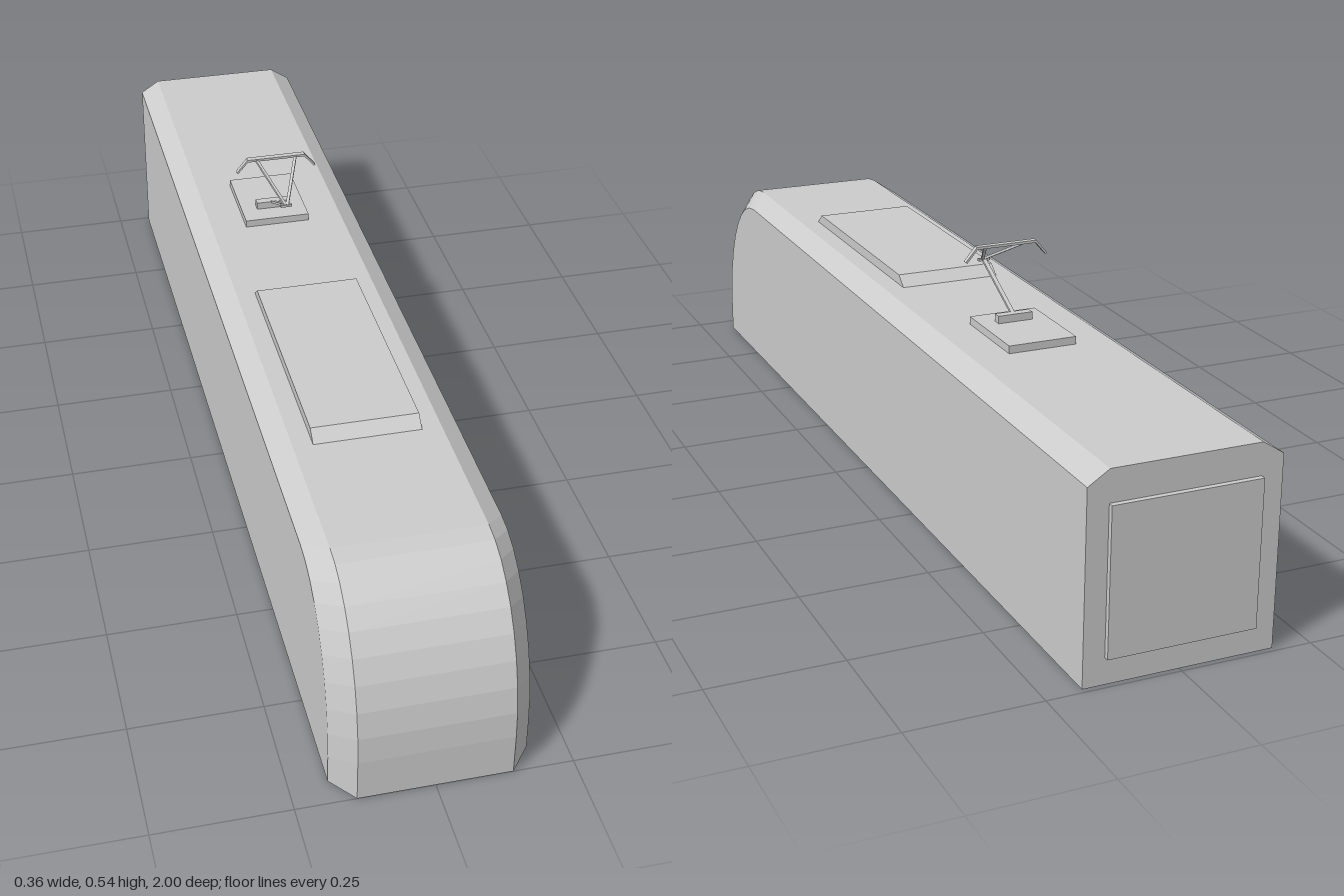
import * as THREE from 'three';

const grey = new THREE.MeshStandardMaterial({ color: 0xcccccc, flatShading: true });

function add(parent, name, geometry) {
  const mesh = new THREE.Mesh(geometry, grey);
  mesh.name = name;
  parent.add(mesh);
  return mesh;
}

// Box given by its minimum and maximum corners
function box(parent, name, min, max) {
  const size = max.map((v, i) => v - min[i]);
  const mesh = add(parent, name, new THREE.BoxGeometry(...size));
  mesh.position.set(...max.map((v, i) => (v + min[i]) / 2));
  return mesh;
}

// Thin square bar between two points
function bar(parent, name, from, to, width, height = width) {
  const a = new THREE.Vector3(...from), b = new THREE.Vector3(...to);
  const mesh = add(parent, name, new THREE.BoxGeometry(width, height, a.distanceTo(b)));
  mesh.position.copy(a).add(b).multiplyScalar(0.5);
  mesh.lookAt(b);
  return mesh;
}

// Side outline as [z, y]: rounded nose, roof, back, shifted inwards for the chamfer
function outline(dz, dy) {
  const points = [[1 - dz, 0]];
  const steps = 9;
  for (let k = 0; k <= steps; k++) {
    const a = (k / steps) * Math.PI / 2;
    points.push([0.79 - dz + 0.21 * Math.cos(a), 0.085 - dy + 0.3 * Math.sin(a)]);
  }
  points.push([-0.99, 0.385 - dy], [-0.99, 0]);
  return points;
}

// Body lofted across x through four outlines, with flat side walls
function bodyGeometry() {
  const inner = outline(0.05, 0.026), outer = outline(0, 0);
  const rows = [[-0.18, inner], [-0.14, outer], [0.14, outer], [0.18, inner]];
  const n = inner.length;
  const vertices = rows.flatMap(([x, pts]) => pts.flatMap(([z, y]) => [x, y, z]));
  const index = [];
  for (let i = 0; i < 3; i++) {
    for (let j = 0; j < n; j++) {
      const next = (j + 1) % n;
      const a = i * n + j, b = a + n, c = (i + 1) * n + next, d = i * n + next;
      index.push(a, b, c, a, c, d);
    }
  }
  for (let j = 0; j < n - 2; j++) {
    index.push(n - 1, j, j + 1);
    index.push(4 * n - 1, 3 * n + j + 1, 3 * n + j);
  }
  const geometry = new THREE.BufferGeometry();
  geometry.setAttribute('position', new THREE.Float32BufferAttribute(vertices, 3));
  geometry.setIndex(index);
  const flat = geometry.toNonIndexed();
  flat.computeVertexNormals();
  return flat;
}

export function createModel() {
  const model = new THREE.Group();
  model.name = 'railcar';

  add(model, 'body', bodyGeometry());
  box(model, 'rearGangway', [-0.14, 0.05, -1], [0.14, 0.325, -0.985]);

  // Roof unit with sloped front and back
  const roof = box(model, 'roofUnit', [-0.1025, 0.38, -0.02], [0.1025, 0.405, 0.51]);
  const pos = roof.geometry.attributes.position;
  for (let i = 0; i < pos.count; i++) {
    if (pos.getY(i) > 0) pos.setZ(i, pos.getZ(i) - Math.sign(pos.getZ(i)) * 0.03);
  }
  roof.geometry.computeVertexNormals();

  // Current collector
  const collector = new THREE.Group();
  collector.name = 'currentCollector';
  model.add(collector);
  box(collector, 'collectorBase', [-0.068, 0.38, -0.45], [0.068, 0.4, -0.27]);
  box(collector, 'collectorMount', [-0.035, 0.4, -0.33], [0.035, 0.415, -0.313]);
  bar(collector, 'lowerArm', [0, 0.411, -0.32], [0, 0.481, -0.18], 0.008, 0.005);
  box(collector, 'elbow', [-0.012, 0.478, -0.184], [0.012, 0.483, -0.178]);
  box(collector, 'contactStrip', [-0.061, 0.537, -0.289], [0.061, 0.542, -0.277]);
  for (const s of [-1, 1]) {
    bar(collector, 'upperArm', [s * 0.002, 0.482, -0.18], [s * 0.042, 0.539, -0.282], 0.006, 0.005);
    bar(collector, 'horn', [s * 0.06, 0.54, -0.283], [s * 0.083, 0.513, -0.283], 0.01, 0.004);
  }
  return model;
}
